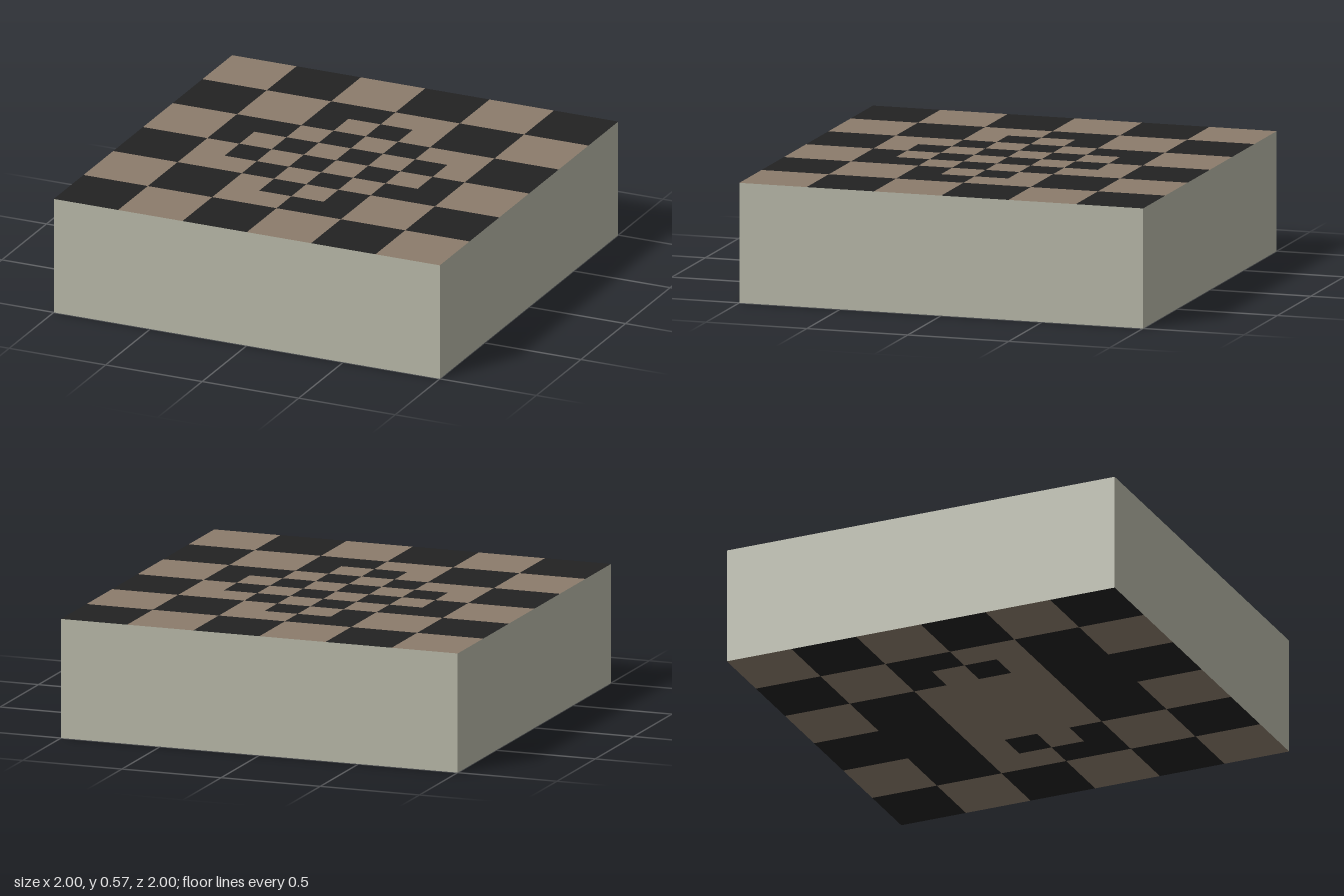
import * as THREE from 'three';
import { mergeGeometries } from 'three/addons/utils/BufferGeometryUtils.js';

const HEIGHT = 0.575, N = 12, CELL = 2 / N;

const mat = (name, color, side = THREE.FrontSide) => {
  const m = new THREE.MeshStandardMaterial({ color, side });
  m.name = name;
  return m;
};

// large checker of double cells; true means dark
const coarse = (i, j) => ((i >> 1) + (j >> 1)) % 2 === 1;
const fine = (i, j) => (i + j) % 2 === 1;
const within = (v, a, b) => v >= a && v <= b;

// top: fine checker in the middle, with half-cell notches on each side
function topDark(i, j) {
  const core = within(i, 4, 7) && within(j, 4, 7);
  const notch = (within(i, 5, 6) && within(j, 3, 8)) || (within(j, 5, 6) && within(i, 3, 8));
  return core || notch ? fine(i, j) : coarse(i, j);
}

// underside: plain middle square between two dark bands
function bottomDark(i, j) {
  if (within(i, 4, 7) && within(j, 4, 7)) return false;
  if (within(i, 4, 7) && within(j, 2, 9)) return true;
  if (within(j, 5, 6) && within(i, 3, 8)) return fine(i, j);
  return coarse(i, j);
}

// all cells of one colour on a horizontal face, joined along rows
function checkerFace(rule, dark, y, up) {
  const parts = [];
  for (let j = 0; j < N; j++) {
    for (let i = 0; i < N;) {
      let end = i + 1;
      const value = rule(i, j);
      while (end < N && rule(end, j) === value) end++;
      if (value === dark) {
        const g = new THREE.PlaneGeometry((end - i) * CELL, CELL);
        g.rotateX(up ? -Math.PI / 2 : Math.PI / 2);
        g.translate(-1 + (i + end) / 2 * CELL, y, -1 + (j + 0.5) * CELL);
        parts.push(g);
      }
      i = end;
    }
  }
  return mergeGeometries(parts);
}

export function createModel() {
  const model = new THREE.Group();
  model.name = 'checkeredBlock';
  const stone = mat('paleStone', 0xb4b5a5);
  const brown = mat('brownTile', 0x8b7b6b);
  const black = mat('blackTile', 0x222222);

  const add = (name, geometry, material) => {
    const mesh = new THREE.Mesh(geometry, material);
    mesh.name = name;
    model.add(mesh);
  };

  // four plain side walls
  const walls = [];
  for (let k = 0; k < 4; k++) {
    const g = new THREE.PlaneGeometry(2, HEIGHT);
    g.translate(0, HEIGHT / 2, 1);
    g.rotateY(k * Math.PI / 2);
    walls.push(g);
  }
  add('sideWalls', mergeGeometries(walls), stone);

  // checkered top and underside
  add('topBrownTiles', checkerFace(topDark, false, HEIGHT, true), brown);
  add('topBlackTiles', checkerFace(topDark, true, HEIGHT, true), black);
  add('bottomBrownTiles', checkerFace(bottomDark, false, 0, false), brown);
  add('bottomBlackTiles', checkerFace(bottomDark, true, 0, false), black);
  return model;
}
